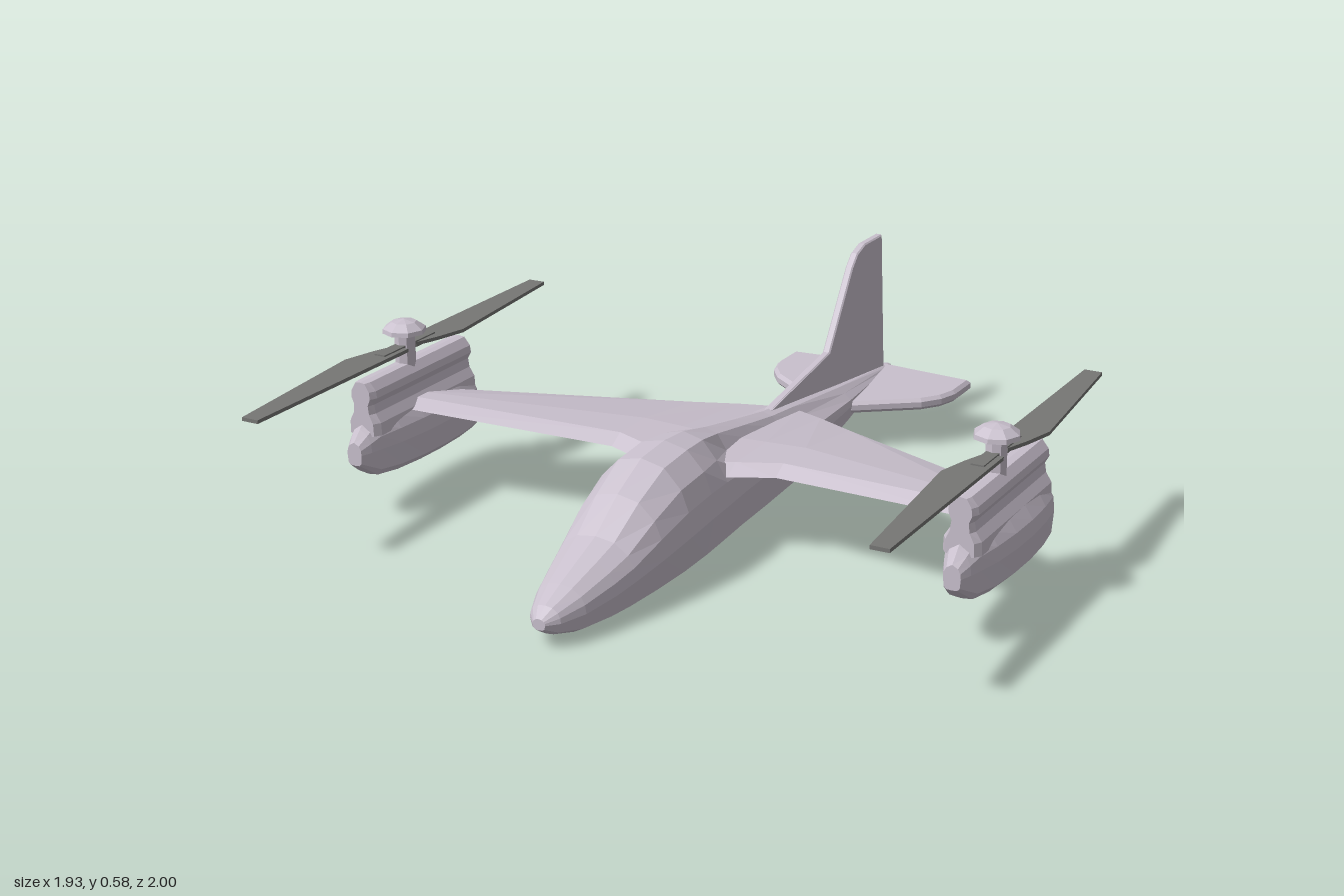
import * as THREE from 'three';

const bodyMat = new THREE.MeshStandardMaterial({ color: 0xc9c0cd, flatShading: true });
const bladeMat = new THREE.MeshStandardMaterial({ color: 0x777775, flatShading: true });

function part(parent, name, geometry, material = bodyMat) {
  const mesh = new THREE.Mesh(geometry, material);
  mesh.name = name;
  parent.add(mesh);
  return mesh;
}

// Skin over a list of equal-length rings of [x, y, z], with both ends capped
function loft(rings) {
  const n = rings[0].length, tris = [];
  for (let i = 0; i < rings.length - 1; i++) {
    for (let k = 0; k < n; k++) {
      const a = rings[i][k], b = rings[i][(k + 1) % n];
      const c = rings[i + 1][k], d = rings[i + 1][(k + 1) % n];
      tris.push([a, c, b], [b, c, d]);
    }
  }
  const cap = (r, flip) => {
    const mid = [0, 1, 2].map(j => r.reduce((s, p) => s + p[j], 0) / n);
    for (let k = 0; k < n; k++) {
      const p = r[k], q = r[(k + 1) % n];
      tris.push(flip ? [mid, q, p] : [mid, p, q]);
    }
  };
  cap(rings[0], false);
  cap(rings[rings.length - 1], true);
  // turn the skin outward if its signed volume is negative
  const v = p => new THREE.Vector3(...p);
  const volume = tris.reduce((s, [a, b, c]) => s + v(a).dot(v(b).cross(v(c))), 0);
  if (volume < 0) tris.forEach(t => t.reverse());
  const g = new THREE.BufferGeometry();
  g.setAttribute('position', new THREE.Float32BufferAttribute(tris.flat(2), 3));
  g.computeVertexNormals();
  return g;
}

// Closes a half outline (bottom to top, ends on the centre line) into a mirrored ring
function mirrorRing(half, z, cx = 0) {
  const right = half.map(([x, y]) => [cx + x, y, z]);
  const left = half.slice(1, -1).reverse().map(([x, y]) => [cx - x, y, z]);
  return [...right, ...left];
}

// Flat panel from a plan outline of [x, z] points, top face at y
function panel(points, y, depth, bevel = 0) {
  const shape = new THREE.Shape(points.map(p => new THREE.Vector2(...p)));
  const g = new THREE.ExtrudeGeometry(shape, {
    depth: depth - 2 * bevel, bevelEnabled: bevel > 0, bevelSize: bevel,
    bevelThickness: bevel, bevelOffset: -bevel, bevelSegments: 1,
  });
  return g.rotateX(Math.PI / 2).translate(0, y - bevel, 0);
}

function fuselageGeometry() {
  // z, half width, bottom, waist height, top, width factor of the upper part
  const stations = [
    [1.0, 0.018, 0.06, 0.075, 0.09, 1],
    [0.97, 0.045, 0.04, 0.075, 0.115, 1],
    [0.9, 0.075, 0.02, 0.08, 0.145, 1],
    [0.8, 0.102, 0.012, 0.095, 0.183, 1],
    [0.73, 0.118, 0.01, 0.11, 0.21, 1],
    [0.62, 0.135, 0.009, 0.13, 0.285, 1],
    [0.5, 0.147, 0.008, 0.15, 0.342, 1],
    [0.38, 0.147, 0.008, 0.16, 0.352, 1],
    [0.28, 0.14, 0.009, 0.16, 0.345, 0.9],
    [0.16, 0.13, 0.01, 0.16, 0.318, 0.62],
    [0, 0.122, 0.012, 0.16, 0.288, 0.6],
    [-0.17, 0.112, 0.018, 0.155, 0.258, 0.6],
    [-0.3, 0.1, 0.035, 0.15, 0.243, 0.65],
    [-0.6, 0.072, 0.088, 0.15, 0.205, 0.8],
    [-0.94, 0.026, 0.136, 0.15, 0.166, 1],
    [-1.0, 0.012, 0.144, 0.15, 0.156, 1],
  ];
  return loft(stations.map(([z, w, b, m, t, f]) => mirrorRing([
    [0, b], [0.5 * w, b + 0.07 * (m - b)], [0.85 * w, b + 0.3 * (m - b)], [w, m],
    [0.95 * w, m + 0.35 * (t - m)], [0.8 * w * f, m + 0.65 * (t - m)],
    [0.46 * w * f, m + 0.92 * (t - m)], [0, t],
  ], z)));
}

function wingGeometry(side) {
  // x, leading edge z, trailing edge z, bottom, top
  const stations = [
    [0.04, 0.31, -0.32, 0.222, 0.262],
    [0.13, 0.275, -0.275, 0.228, 0.264],
    [0.25, 0.232, -0.21, 0.234, 0.268],
    [0.87, 0.335, 0.115, 0.272, 0.302],
  ];
  return loft(stations.map(([x, le, te, b, t]) => {
    const c = le - te;
    return [
      [le, b + 0.008], [le - 0.045, t], [le - 0.4 * c, t], [te, b - 0.002],
      [te, b - 0.01], [le - 0.4 * c, b - 0.005], [le - 0.03, b],
    ].map(([z, y]) => [side * x, y, z]);
  }));
}

function buildNacelle(parent, cx) {
  const nacelle = new THREE.Group();
  nacelle.name = 'nacelle';
  parent.add(nacelle);

  // engine pod: z, width scale, height scale about y = 0.2
  const pod = [
    [0.535, 0.3, 0.35], [0.505, 0.48, 0.62], [0.475, 0.62, 0.88], [0.4, 0.84, 0.97],
    [0.3, 0.97, 1], [0.2, 1, 1], [0.1, 0.93, 0.98], [0.02, 0.78, 0.93],
  ];
  const podHalf = [[0, -0.082], [0.05, -0.078], [0.071, -0.058], [0.078, 0.01],
    [0.073, 0.05], [0.05, 0.085], [0, 0.11]];
  part(nacelle, 'enginePod', loft(pod.map(([z, sx, sy]) =>
    mirrorRing(podHalf.map(([x, y]) => [x * sx, 0.2 + y * sy]), z, cx))));

  // upper fairing with a rounded rail on top
  const fairing = [[0, 0.24], [0.052, 0.25], [0.05, 0.285], [0.034, 0.31], [0.03, 0.335],
    [0.041, 0.355], [0.038, 0.375], [0.02, 0.398], [0, 0.4]];
  part(nacelle, 'upperFairing', loft([[0.495, 0.75], [0.475, 1], [0.02, 1]].map(([z, s]) =>
    mirrorRing(fairing.map(([x, y]) => [x * s, y]), z, cx))));

  // rotor
  const rotor = new THREE.Group();
  rotor.name = 'rotor';
  rotor.position.set(cx, 0, 0.28);
  nacelle.add(rotor);
  part(rotor, 'mast', new THREE.CylinderGeometry(0.029, 0.029, 0.13, 8).translate(0, 0.425, 0));
  const cap = [[0, 0.478], [0.03, 0.48], [0.062, 0.485], [0.06, 0.497], [0.035, 0.515], [0, 0.522]];
  part(rotor, 'hubCap', new THREE.LatheGeometry(cap.map(p => new THREE.Vector2(...p)), 8));
  part(rotor, 'bladeGrip', new THREE.BoxGeometry(0.035, 0.018, 0.24).translate(0, 0.443, 0), bladeMat);
  const outline = [[-0.032, -0.69], [0.018, -0.69], [0.065, -0.19], [0.042, -0.1],
    [0.018, -0.03], [-0.032, -0.03]];
  for (const turn of [0, Math.PI]) {
    part(rotor, 'blade', panel(outline, 0.448, 0.01), bladeMat).rotation.y = turn;
  }
}

export function createModel() {
  const model = new THREE.Group();
  model.name = 'tiltrotorAircraft';

  part(model, 'fuselage', fuselageGeometry());
  for (const side of [1, -1]) {
    part(model, side > 0 ? 'leftWing' : 'rightWing', wingGeometry(side));
    buildNacelle(model, side * 0.887);
  }

  // horizontal tail
  const half = [[0.07, -0.6], [0.24, -0.725], [0.28, -0.78], [0.298, -0.84], [0.298, -0.955]];
  const mirrored = half.map(([x, z]) => [-x, z]).reverse();
  part(model, 'tailplane', panel([...half, [0, -0.98], ...mirrored], 0.162, 0.036, 0.01));

  // fin with its dorsal fillet, drawn as [z, y] and stood upright
  const fin = panel([[-0.16, 0.245], [-0.57, 0.315], [-0.715, 0.535], [-0.75, 0.57], [-0.8, 0.587],
    [-0.917, 0.587], [-0.95, 0.155], [-0.6, 0.17]], 0.012, 0.024, 0.004);
  fin.applyMatrix4(new THREE.Matrix4().set(0, 1, 0, 0, 0, 0, 1, 0, 1, 0, 0, 0, 0, 0, 0, 1));
  part(model, 'fin', fin);
  return model;
}
